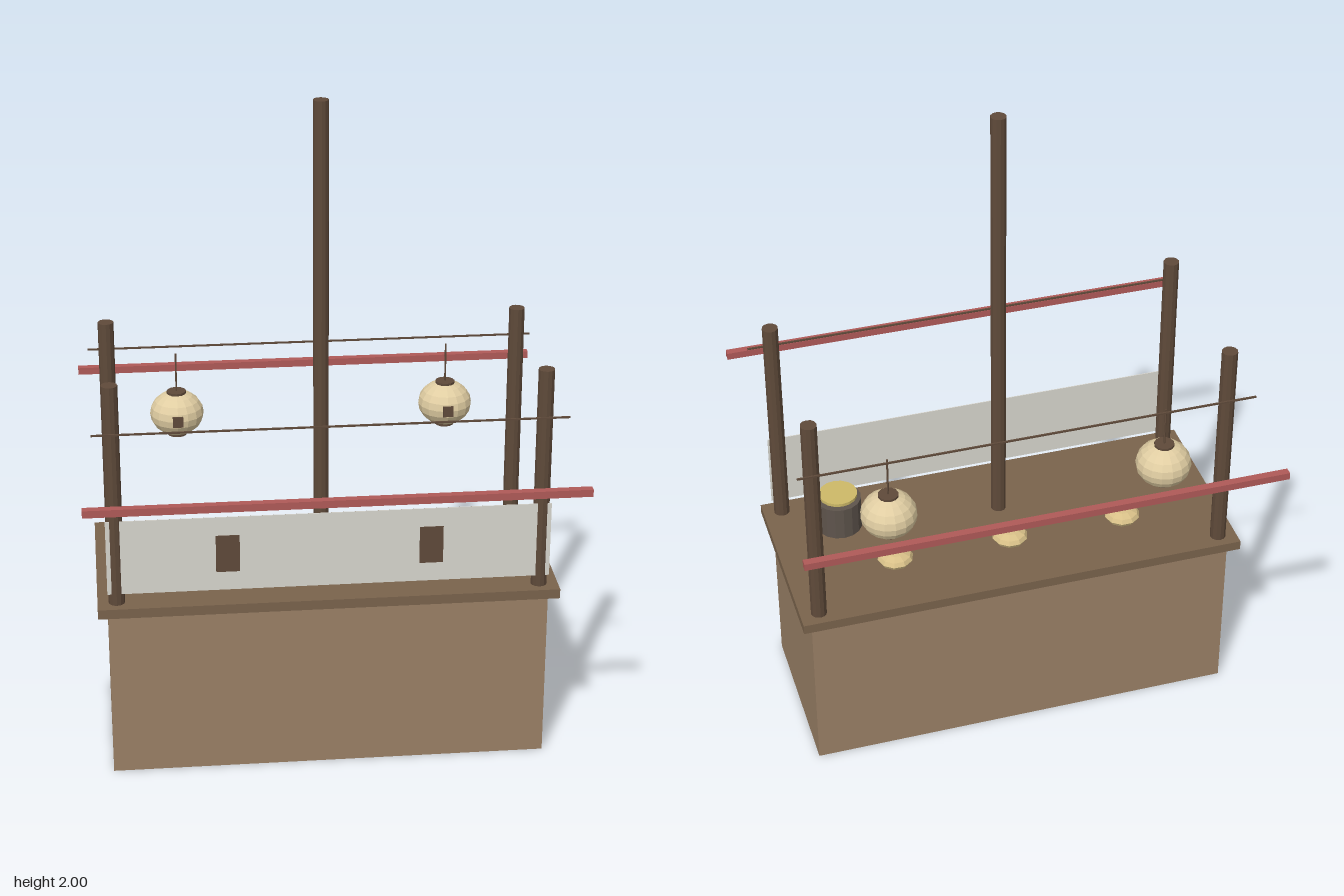
import * as THREE from 'three';

const mat = (color, side = THREE.FrontSide) =>
  new THREE.MeshStandardMaterial({ color, side, flatShading: true });

export function createModel() {
  const stall = new THREE.Group();
  stall.name = 'marketStall';

  const wood = mat(0x9a8066);
  const counterWood = mat(0x7a634c);
  const darkWood = mat(0x5f4a3a);
  const red = mat(0xb05a58);
  const paper = mat(0xe0cda2);
  const bunColor = mat(0xd8c088);
  const cloth = mat(0xd8d6ce, THREE.DoubleSide);
  const iron = mat(0x5e544c);
  const broth = mat(0xcdb968);

  const add = (name, geometry, material, x, y, z, parent = stall) => {
    const mesh = new THREE.Mesh(geometry, material);
    mesh.name = name;
    mesh.position.set(x, y, z);
    parent.add(mesh);
    return mesh;
  };
  const box = (w, h, d) => new THREE.BoxGeometry(w, h, d);
  const rod = (r, h, n = 12) => new THREE.CylinderGeometry(r, r, h, n);

  // Cabinet and counter top
  add('cabinet', box(1.31, 0.535, 0.53), wood, 0, 0.2675, 0);
  add('counterTop', box(1.37, 0.03, 0.596), counterWood, 0, 0.55, 0);

  // Corner posts and tall central pole
  for (const x of [-0.628, 0.628])
    for (const z of [-0.25, 0.25])
      add('cornerPost', rod(0.024, 0.69), darkWood, x, 0.91, z);
  add('centrePole', rod(0.023, 1.37), darkWood, 0, 1.315, 0);

  // Front cloth with two dark patches
  add('frontCloth', box(1.31, 0.235, 0.003), cloth, 0, 0.7175, 0.267);
  for (const x of [-0.3, 0.3])
    add('clothPatch', box(0.07, 0.117, 0.004), darkWood, x, 0.718, 0.269);

  // Red rails and thin cords along both long sides
  for (const s of [-1, 1]) {
    add('sideRail', box(1.435, 0.022, 0.023), red, 0, 0.99, s * 0.527);
    add('sideCord', box(1.37, 0.005, 0.005), darkWood, 0, 1.136, s * 0.331);
  }

  // Hanging lanterns at the back
  for (const x of [-0.418, 0.418]) {
    const lantern = new THREE.Group();
    lantern.name = 'lantern';
    lantern.position.set(x, 0.93, -0.3);
    stall.add(lantern);
    const body = add('lanternBody', new THREE.SphereGeometry(0.083, 16, 10), paper, 0, 0, 0, lantern);
    body.scale.y = 0.84;
    for (const s of [-1, 1])
      add('lanternCap', rod(0.03, 0.014), darkWood, 0, s * 0.065, 0, lantern);
    add('lanternCord', rod(0.003, 0.125, 6), darkWood, 0, 0.132, 0, lantern);
    add('lanternPatch', box(0.032, 0.034, 0.006), darkWood, 0, 0, 0.081, lantern);
  }

  // Flattened buns on the counter
  for (const x of [-0.36, 0, 0.36]) {
    const bun = add('bun', new THREE.SphereGeometry(0.055, 10, 6), bunColor, x, 0.613, -0.122);
    bun.scale.y = 0.45;
  }

  // Cooking pot and its lid
  add('pot', rod(0.07, 0.107, 16), iron, 0.475, 0.6315, 0.12);
  add('potLid', rod(0.059, 0.01, 16), broth, 0.475, 0.697, 0.12);

  return stall;
}
